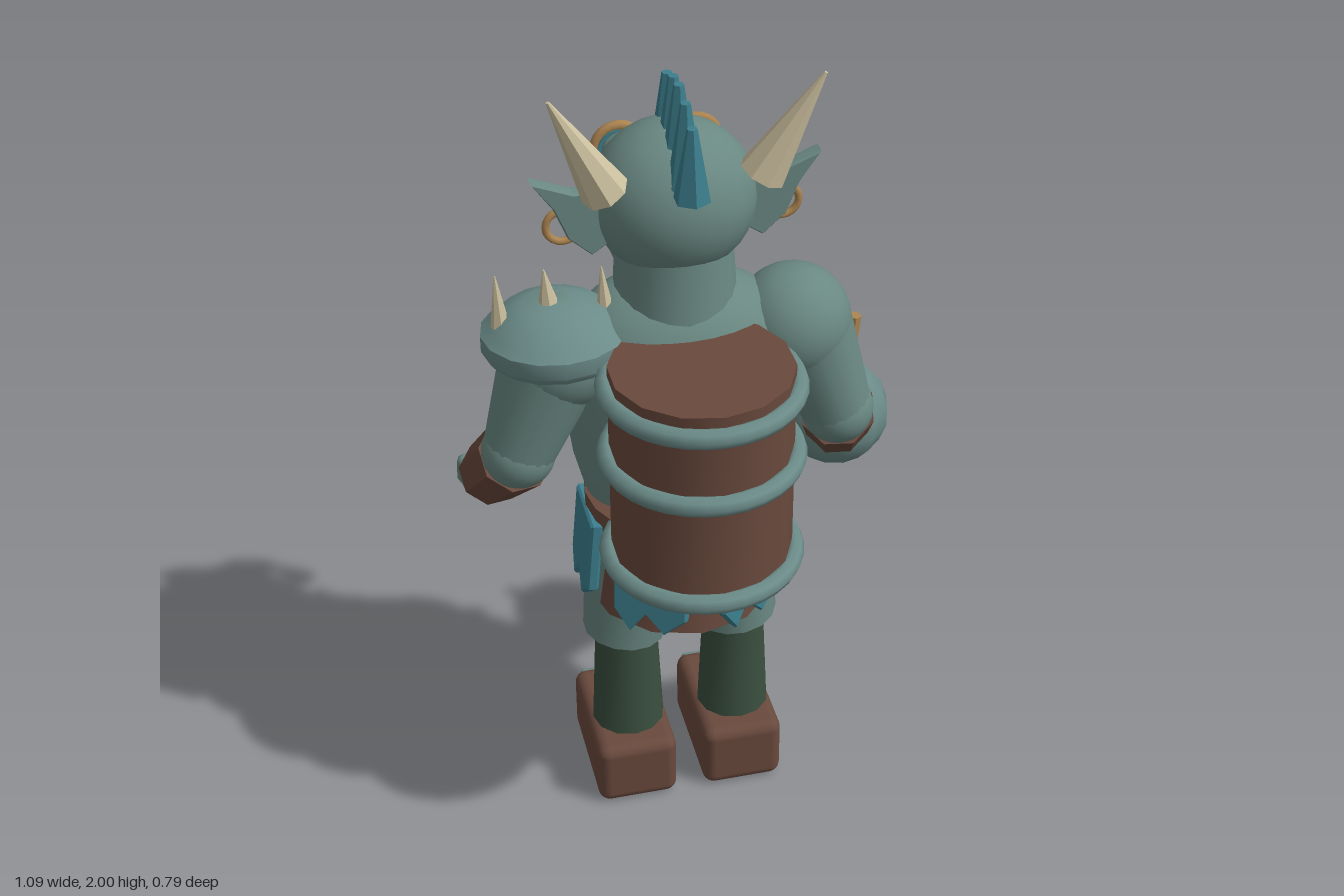
import * as THREE from 'three';
import { toCreasedNormals } from 'three/addons/utils/BufferGeometryUtils.js';
import { RoundedBoxGeometry } from 'three/addons/geometries/RoundedBoxGeometry.js';

const mat = (name, color) => {
  const m = new THREE.MeshStandardMaterial({ color });
  m.name = name;
  return m;
};

export function createModel() {
  const skin = mat('skin', 0x6a8882), metal = mat('metal', 0x6b8b88);
  const leather = mat('leather', 0x69493d), cloth = mat('tealCloth', 0x3c7f8e);
  const trousers = mat('trousers', 0x3a4f3f), gold = mat('gold', 0xab8450);
  const bone = mat('bone', 0xcdc1a0), dark = mat('darkEye', 0x33463f);

  const model = new THREE.Group();
  model.name = 'hornedBrute';
  // The body axis sits slightly off centre because of the held ball
  const body = new THREE.Group();
  body.name = 'body';
  body.position.x = -0.04;
  model.add(body);

  const V = (x, y, z) => new THREE.Vector3(x, y, z);
  const add = (name, geo, material, x = 0, y = 0, z = 0) => {
    const m = new THREE.Mesh(geo, material);
    m.name = name;
    m.position.set(x, y, z);
    body.add(m);
    return m;
  };
  const crease = (g) => toCreasedNormals(g, 0.65);
  const ball = (name, material, x, y, z, rx, ry = rx, rz = rx) => {
    const m = add(name, new THREE.SphereGeometry(1, 24, 16), material, x, y, z);
    m.scale.set(rx, ry, rz);
    return m;
  };
  // Tapered rod from a to b
  const rod = (name, material, a, b, ra, rb, sides = 16) => {
    const g = crease(new THREE.CylinderGeometry(rb, ra, a.distanceTo(b), sides));
    const m = add(name, g, material);
    m.position.copy(a).add(b).multiplyScalar(0.5);
    m.quaternion.setFromUnitVectors(V(0, 1, 0), b.clone().sub(a).normalize());
    return m;
  };
  const box = (name, material, w, h, d, x, y, z, r = 0.015) =>
    add(name, new RoundedBoxGeometry(w, h, d, 3, r), material, x, y, z);
  const profile = (pts) => pts.map(([r, y]) => new THREE.Vector2(r, y));

  // Legs
  for (const s of [-1, 1]) {
    const x = s * 0.138;
    box('boot', leather, 0.205, 0.18, 0.34, x, 0.09, -0.12, 0.03);
    box('toePlate', metal, 0.17, 0.055, 0.03, x, 0.145, -0.278, 0.01);
    add('shin', crease(new THREE.CylinderGeometry(0.077, 0.092, 0.32, 12)), trousers, x, 0.355, -0.077);
    rod('thigh', skin, V(s * 0.143, 0.485, -0.075), V(s * 0.105, 0.8, -0.075), 0.103, 0.125, 14);
    box('kneePad', metal, 0.125, 0.12, 0.055, x, 0.46, -0.168, 0.018);
  }

  // Skirt, belt and hanging cloth panels
  const skirt = add('skirt', crease(new THREE.CylinderGeometry(0.222, 0.246, 0.25, 12)), leather, 0, 0.75, -0.08);
  skirt.scale.x = 0.95;
  add('belt', crease(new THREE.CylinderGeometry(0.228, 0.228, 0.06, 20)), leather, 0, 0.875, -0.085);
  box('buckle', gold, 0.1, 0.085, 0.04, 0, 0.875, -0.318, 0.01);
  const panelShape = new THREE.Shape(profile([
    [-0.086, 0.115], [-0.086, -0.06], [-0.05, -0.115], [-0.012, -0.06],
    [0.035, -0.11], [0.086, -0.065], [0.086, 0.115],
  ]));
  const panelGeo = new THREE.ExtrudeGeometry(panelShape, {
    depth: 0.018, bevelEnabled: true, bevelSize: 0.005, bevelThickness: 0.006, bevelSegments: 1,
  });
  for (let i = 0; i < 6; i++) {
    const a = Math.PI / 6 + i * Math.PI / 3;
    const p = add('skirtPanel', panelGeo, cloth, Math.sin(a) * 0.22, 0.748, -0.08 + Math.cos(a) * 0.228);
    p.rotation.set(-0.09, a, 0, 'YXZ');
  }

  // Torso
  const torso = add('torso', new THREE.LatheGeometry(profile([
    [0.2, 0.84], [0.225, 0.92], [0.25, 1.02], [0.265, 1.14], [0.28, 1.26],
    [0.265, 1.35], [0.2, 1.42], [0.13, 1.46], [0, 1.48],
  ]), 28), skin, 0, 0, -0.1);
  torso.scale.z = 0.68;
  ball('belly', skin, 0, 1.02, -0.14, 0.2, 0.17, 0.14);
  for (const s of [-1, 1]) ball('pectoral', skin, s * 0.11, 1.27, -0.18, 0.14, 0.11, 0.09);
  rod('neck', skin, V(0, 1.36, -0.1), V(0, 1.56, -0.11), 0.145, 0.135, 20);
  rod('chestStrap', leather, V(-0.25, 1.33, -0.25), V(0.25, 0.99, -0.265), 0.036, 0.036, 8);

  // Arms with bracers
  for (const s of [-1, 1]) {
    const elbow = V(s * 0.385, 1.07, -0.06), wrist = V(s * 0.435, 0.91, -0.21);
    ball('shoulder', skin, s * 0.275, 1.32, -0.08, 0.138, 0.138, 0.135);
    rod('upperArm', skin, V(s * 0.295, 1.3, -0.075), elbow, 0.122, 0.085, 18);
    ball('elbow', skin, elbow.x, elbow.y, elbow.z, 0.088);
    rod('bracer', leather, V(s * 0.39, 1.055, -0.07), wrist, 0.092, 0.08, 8);
  }

  // Empty hand with curled fingers
  ball('hand', skin, -0.43, 0.885, -0.245, 0.075, 0.07, 0.07);
  for (let i = 0; i < 4; i++) {
    const f = add('finger', new THREE.CapsuleGeometry(0.019, 0.055, 4, 8), skin,
      -0.435 + (i - 1.5) * 0.034, 0.868, -0.3);
    f.rotation.x = 0.25;
  }
  ball('thumb', skin, -0.36, 0.89, -0.26, 0.025, 0.035, 0.03);

  // Round bomb with its fuse
  add('bomb', new THREE.SphereGeometry(0.136, 12, 9), metal, 0.445, 0.917, -0.262);
  rod('fuse', gold, V(0.46, 1.02, -0.247), V(0.48, 1.2, -0.245), 0.018, 0.018, 6);

  // Spiked shoulder pad
  const pad = add('shoulderPad', crease(new THREE.LatheGeometry(profile([
    [0.13, 1.32], [0.155, 1.325], [0.17, 1.345], [0.17, 1.385], [0.15, 1.4],
    [0.12, 1.43], [0.07, 1.452], [0, 1.458],
  ]), 16)), metal, -0.285, 0, -0.075);
  pad.scale.z = 0.94;
  for (const [x, y, top] of [[-0.405, 1.37, 1.54], [-0.295, 1.43, 1.54], [-0.165, 1.37, 1.53]])
    rod('padSpike', bone, V(x, y, -0.075), V(x - 0.01, top, -0.07), 0.028, 0.002, 7);

  // Barrel carried on the back
  add('barrel', crease(new THREE.CylinderGeometry(0.21, 0.21, 0.525, 14)), leather, 0, 1.122, 0.155);
  for (const y of [0.883, 1.157, 1.337]) {
    const hoop = add('barrelHoop', new THREE.TorusGeometry(0.215, 0.024, 8, 32), metal, 0, y, 0.155);
    hoop.rotation.x = Math.PI / 2;
  }

  // Head
  ball('head', skin, 0, 1.665, -0.115, 0.19, 0.182, 0.172);
  ball('jaw', skin, 0, 1.54, -0.15, 0.14, 0.115, 0.14);
  ball('snout', skin, 0, 1.56, -0.215, 0.115, 0.075, 0.08);
  ball('nose', skin, 0, 1.63, -0.275, 0.035, 0.04, 0.035);
  ball('brow', skin, 0, 1.75, -0.2, 0.14, 0.04, 0.075);

  const earGeo = new THREE.ExtrudeGeometry(new THREE.Shape(profile([
    [0.15, 1.6], [0.195, 1.57], [0.245, 1.615], [0.275, 1.69],
    [0.322, 1.755], [0.235, 1.72], [0.15, 1.71],
  ])), { depth: 0.016, bevelEnabled: true, bevelSize: 0.004, bevelThickness: 0.012, bevelSegments: 2 });
  for (const s of [-1, 1]) {
    // Turning half round mirrors the ear without flipping its faces
    const ear = add('ear', earGeo, skin, 0, 0, s > 0 ? -0.09 : -0.074);
    if (s < 0) ear.rotation.y = Math.PI;
    add('earring', new THREE.TorusGeometry(0.038, 0.009, 8, 20), gold, s * 0.252, 1.622, -0.11);
    rod('horn', bone, V(s * 0.175, 1.755, -0.005), V(s * 0.298, 2.0, 0.038), 0.055, 0.004, 8);
    rod('tusk', bone, V(s * 0.113, 1.525, -0.285), V(s * 0.118, 1.69, -0.298), 0.034, 0.002, 7);
    ball('eye', dark, s * 0.105, 1.71, -0.225, 0.034);
    // Goggles
    add('goggleRim', new THREE.TorusGeometry(0.056, 0.012, 8, 24), gold, s * 0.088, 1.71, -0.278);
    const lens = add('goggleLens', new THREE.CylinderGeometry(0.05, 0.05, 0.02, 24), cloth, s * 0.088, 1.71, -0.274);
    lens.rotation.x = Math.PI / 2;
  }
  rod('goggleBridge', gold, V(-0.045, 1.715, -0.29), V(0.045, 1.715, -0.29), 0.011, 0.011, 8);

  // Mohawk of blunt spikes
  [[0.068, 1.92], [0.008, 1.95], [-0.052, 1.965], [-0.105, 1.96], [-0.165, 1.94]].forEach(([z, top], i) =>
    rod('mohawkSpike', cloth, V(0, top - (i ? 0.2 : 0.17), z), V(0, top, z + 0.002), 0.042, 0.012, 6));

  return model;
}
